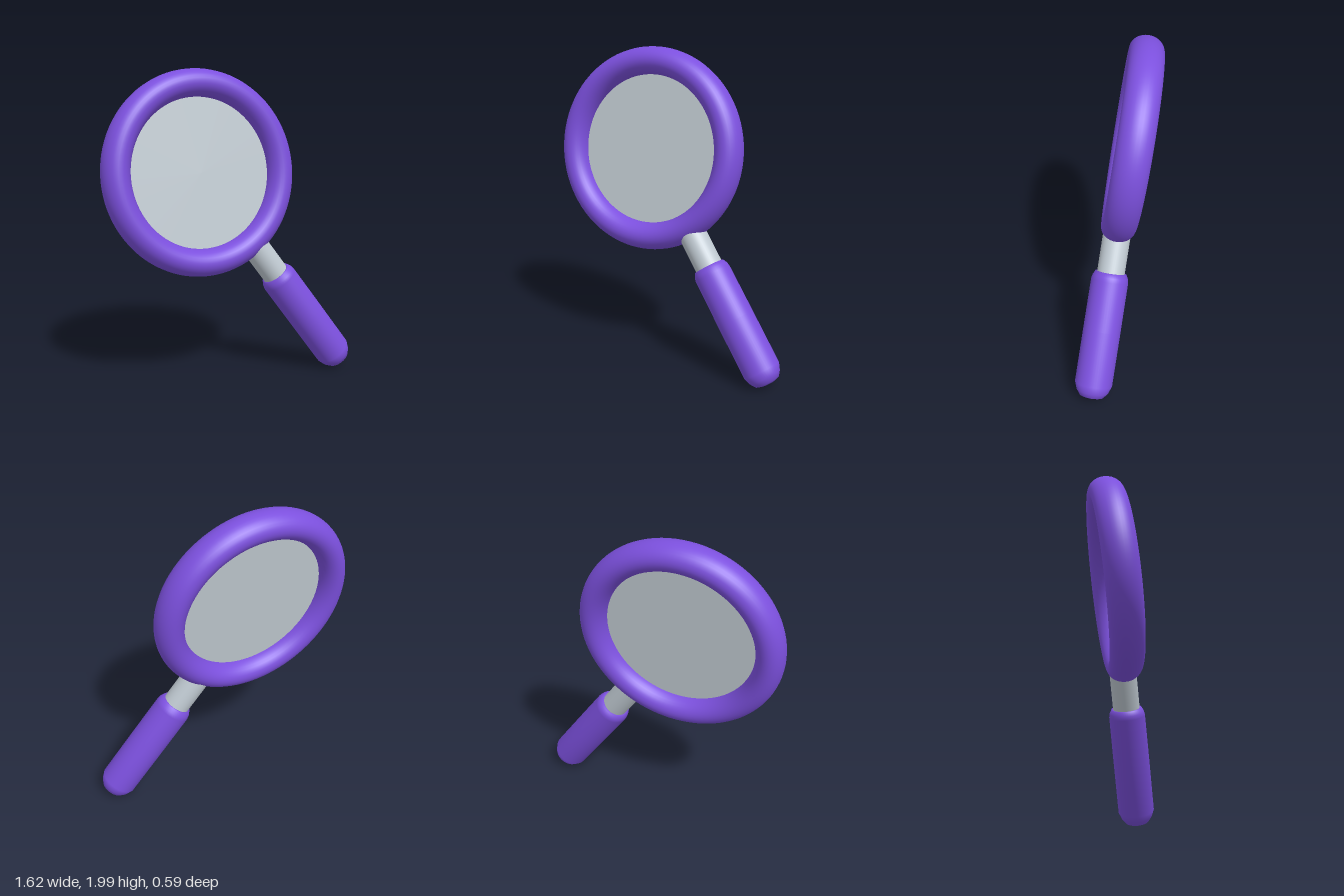
import * as THREE from 'three';

const mat = (name, color, side = THREE.FrontSide) => {
  const m = new THREE.MeshStandardMaterial({ color, side });
  m.name = name;
  return m;
};

export function createModel() {
  const purple = mat('purple', 0x7c50de);
  const metal = mat('pale metal', 0xc0cad2);
  const glass = mat('glass', 0xc2ccd3);

  const model = new THREE.Group();
  model.name = 'magnifyingGlass';
  // Tilted frame: origin at the lens centre, handle runs along local -y
  const body = new THREE.Group();
  body.name = 'tiltedBody';
  model.add(body);

  const add = (name, geometry, material) => {
    const mesh = new THREE.Mesh(geometry, material);
    mesh.name = name;
    body.add(mesh);
    return mesh;
  };

  // Rim: torus slightly deeper than it is wide
  const rimRadius = 0.557, tube = 0.087, depth = 0.106;
  const rim = new THREE.TorusGeometry(rimRadius, tube, 32, 96);
  rim.scale(1, 1, depth / tube);
  add('rim', rim, purple);

  // Lens: thin disc sunk into the rim
  const lens = new THREE.CylinderGeometry(0.5, 0.5, 0.012, 64);
  lens.rotateX(Math.PI / 2);
  add('lens', lens, glass);

  // Metal collar joining rim and handle
  const collar = new THREE.CylinderGeometry(0.087, 0.087, 0.36, 40);
  collar.translate(0, -0.72, 0);
  add('collar', collar, metal);

  // Handle grip: bevelled top, straight sides, blunt rounded end
  const profile = [
    [0, -1.635], [0.04, -1.633], [0.077, -1.622], [0.101, -1.59], [0.118, -1.545],
    [0.118, -1.2], [0.117, -0.89], [0.112, -0.865], [0.098, -0.838], [0.085, -0.838],
  ].map(([r, y]) => new THREE.Vector2(r, y));
  add('handle', new THREE.LatheGeometry(profile, 48), purple);

  // Lean the whole tool so the handle points down, to its left and forward
  const up = new THREE.Vector3(-0.5635, 0.807, -0.177).normalize();
  const right = new THREE.Vector3().crossVectors(up, new THREE.Vector3(-0.101, 0.145, 0.984)).normalize();
  const facing = new THREE.Vector3().crossVectors(right, up);
  body.quaternion.setFromRotationMatrix(new THREE.Matrix4().makeBasis(right, up, facing));
  body.position.set(-0.17, 1.36, -0.0875);
  return model;
}
